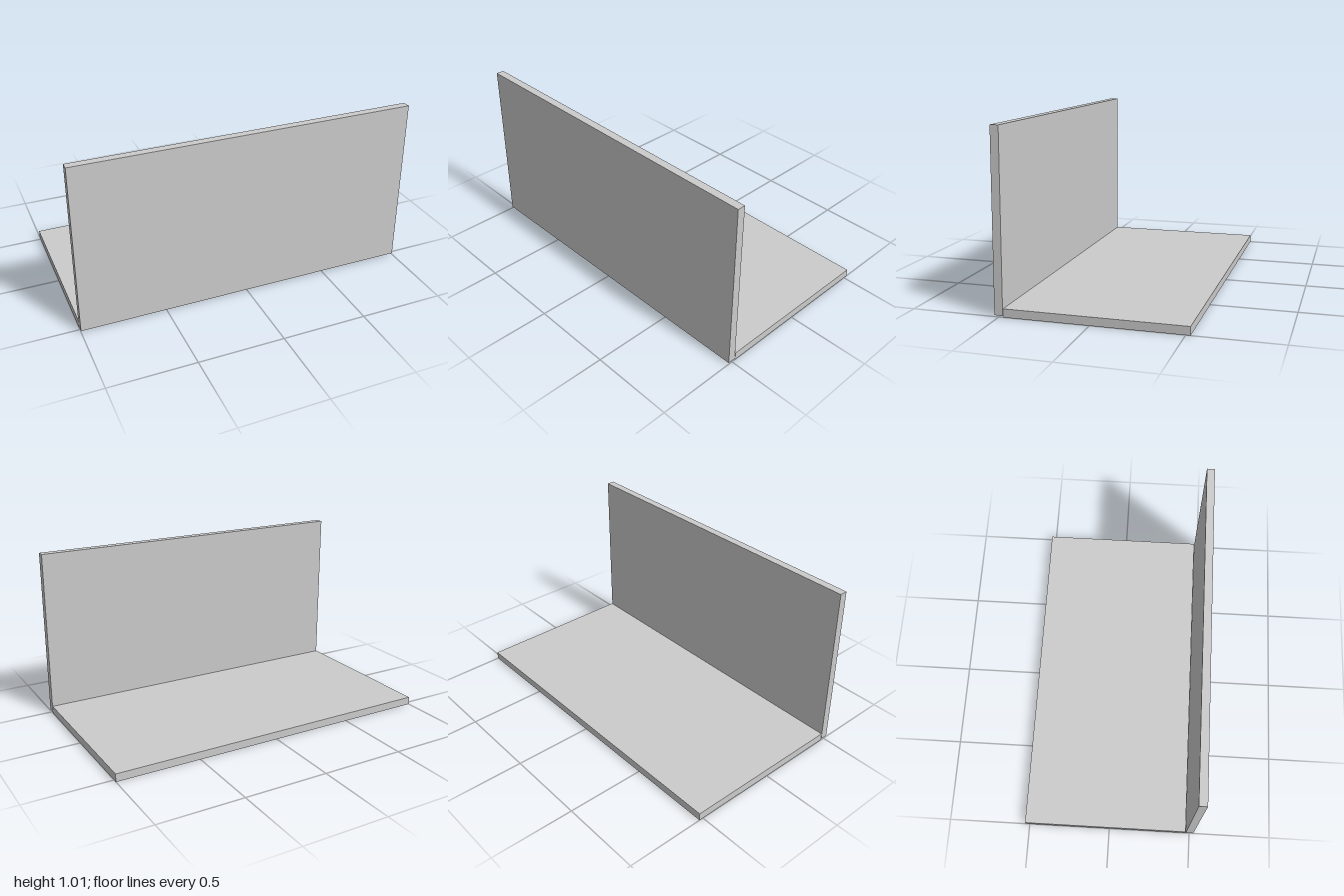
import * as THREE from 'three';

const WIDTH = 2, DEPTH = 1, THICKNESS = 0.047;

export function createModel() {
  const model = new THREE.Group();
  const material = new THREE.MeshStandardMaterial({ color: 0xcccccc, flatShading: true });

  // Flat board lying on the ground
  const base = new THREE.Mesh(new THREE.BoxGeometry(WIDTH, THICKNESS, DEPTH), material);
  base.name = 'basePanel';
  base.position.set(0, THICKNESS / 2, -0.025);
  model.add(base);

  // Upright board along the front edge, leaning very slightly inward
  const upright = new THREE.Mesh(new THREE.BoxGeometry(WIDTH, DEPTH, THICKNESS), material);
  upright.name = 'uprightPanel';
  upright.position.set(0, 0.508, 0.4975);
  upright.rotation.x = -0.0085;
  model.add(upright);

  return model;
}
